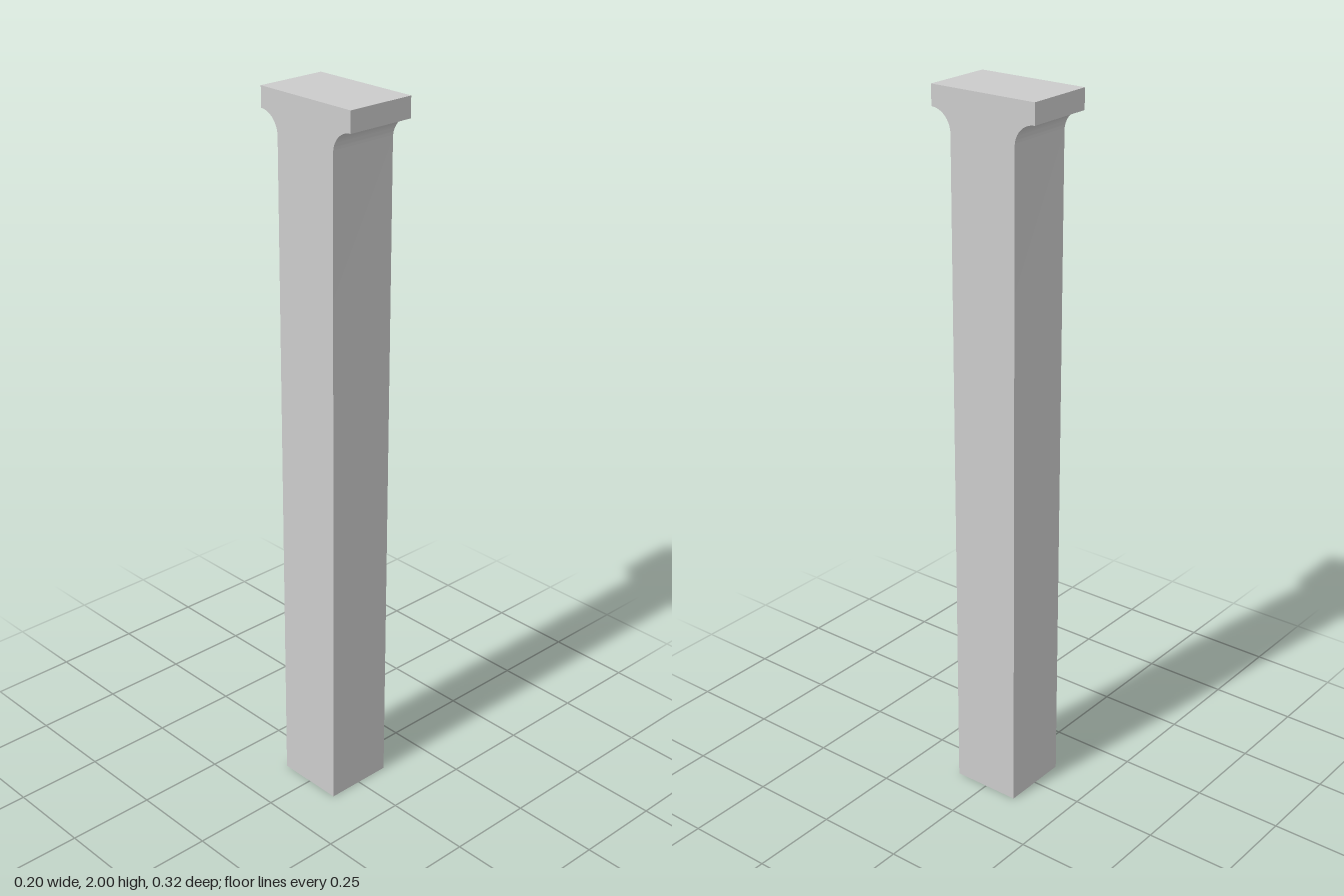
import * as THREE from 'three';
import { toCreasedNormals } from 'three/addons/utils/BufferGeometryUtils.js';

const HEIGHT = 2;
const WIDTH = 0.2;          // along x
const HALF_SHAFT = 0.1;     // along z
const HALF_CAP = 0.16;      // along z
const CAP_BOTTOM = 1.944;
const COVE = HALF_CAP - HALF_SHAFT;

export function createModel() {
  const group = new THREE.Group();
  group.name = 'pillar';
  const material = new THREE.MeshStandardMaterial({ color: 0xcccccc });

  // Side profile: straight shaft, quarter-round coves, flat cap
  const coveY = CAP_BOTTOM - COVE;
  const profile = new THREE.Shape();
  profile.moveTo(-HALF_SHAFT, 0);
  profile.lineTo(HALF_SHAFT, 0);
  profile.lineTo(HALF_SHAFT, coveY);
  profile.absarc(HALF_CAP, coveY, COVE, Math.PI, Math.PI / 2, true);
  profile.lineTo(HALF_CAP, HEIGHT);
  profile.lineTo(-HALF_CAP, HEIGHT);
  profile.lineTo(-HALF_CAP, CAP_BOTTOM);
  profile.absarc(-HALF_CAP, coveY, COVE, Math.PI / 2, 0, true);
  profile.closePath();

  // Extrude across the width, then turn the profile into the z-y plane
  const geometry = new THREE.ExtrudeGeometry(profile, {
    depth: WIDTH, bevelEnabled: false, curveSegments: 16,
  });
  geometry.translate(0, 0, -WIDTH / 2);
  geometry.rotateY(-Math.PI / 2);

  const post = new THREE.Mesh(toCreasedNormals(geometry, Math.PI / 6), material);
  post.name = 'postWithFlaredCap';
  group.add(post);
  return group;
}
